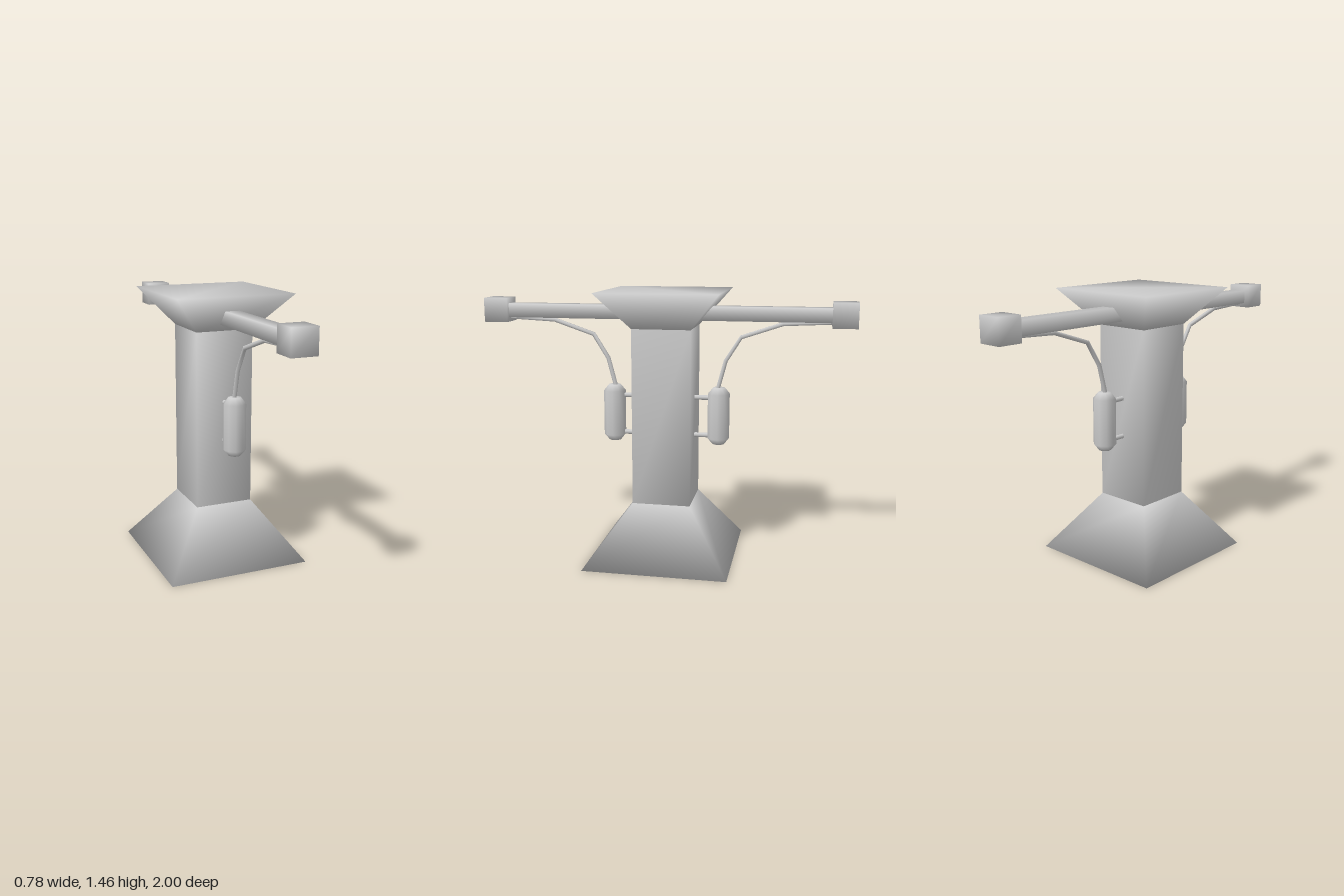
import * as THREE from 'three';
import { mergeVertices } from 'three/addons/utils/BufferGeometryUtils.js';

const material = new THREE.MeshStandardMaterial({ color: 0xcccccc });

function add(parent, name, geometry) {
  const mesh = new THREE.Mesh(geometry, material);
  mesh.name = name;
  parent.add(mesh);
  return mesh;
}

// Box whose corners share one soft normal; half widths may differ at bottom and top
function softBlock(bottomHalf, topHalf, y0, y1) {
  const g = new THREE.BoxGeometry(2, y1 - y0, 2);
  g.translate(0, (y0 + y1) / 2, 0);
  const p = g.attributes.position;
  for (let i = 0; i < p.count; i++) {
    const [hx, hz] = p.getY(i) > (y0 + y1) / 2 ? topHalf : bottomHalf;
    p.setX(i, p.getX(i) * hx);
    p.setZ(i, p.getZ(i) * hz);
  }
  g.deleteAttribute('normal');
  g.deleteAttribute('uv');
  const merged = mergeVertices(g);
  merged.computeVertexNormals();
  return merged;
}

// Path with straight pieces, sampled exactly at its corners
class BentPath extends THREE.Curve {
  constructor(points) {
    super();
    this.points = points;
  }
  getUtoTmapping(u) {
    return u;
  }
  getPoint(t, target = new THREE.Vector3()) {
    const n = this.points.length - 1;
    const i = Math.min(Math.floor(t * n), n - 1);
    return target.lerpVectors(this.points[i], this.points[i + 1], t * n - i);
  }
}

// One arm side: end block, canister, its brackets and the feed pipe
function createSide(name) {
  const side = new THREE.Group();
  side.name = name;

  add(side, 'endBlock', softBlock([0.067, 0.065], [0.067, 0.065], 1.28, 1.41))
    .position.z = 0.935;

  const profile = [[0, 0.635], [0.033, 0.635], [0.06, 0.668], [0.06, 0.912], [0.033, 0.945], [0, 0.945]]
    .map(([r, y]) => new THREE.Vector2(r, y));
  add(side, 'canister', new THREE.LatheGeometry(profile, 10, Math.PI / 2))
    .position.z = 0.288;

  for (const y of [0.68, 0.888]) {
    const bracket = new THREE.CylinderGeometry(0.013, 0.013, 0.13, 8);
    bracket.rotateX(Math.PI / 2);
    add(side, 'bracket', bracket).position.set(0, y, 0.2);
  }

  const bends = [[0.93, 0.28], [1.09, 0.322], [1.218, 0.402], [1.292, 0.62], [1.305, 0.88]]
    .map(([y, z]) => new THREE.Vector3(0, y, z));
  add(side, 'pipe', new THREE.TubeGeometry(new BentPath(bends), bends.length - 1, 0.012, 6));
  return side;
}

export function createModel() {
  const model = new THREE.Group();
  model.name = 'pillar';

  // Stacked square pillar
  const foot = [0.388, 0.388], shaft = [0.157, 0.157], rim = [0.32, 0.32];
  add(model, 'base', softBlock(foot, shaft, 0, 0.318));
  add(model, 'column', softBlock(shaft, shaft, 0.318, 1.267));
  add(model, 'capital', softBlock(shaft, rim, 1.267, 1.46));

  // Cross beam through the capital
  add(model, 'beam', softBlock([0.039, 0.88], [0.039, 0.88], 1.305, 1.38));

  // Matching sides at front and back
  const front = createSide('frontSide');
  const back = createSide('backSide');
  back.rotation.y = Math.PI;
  model.add(front, back);
  return model;
}
